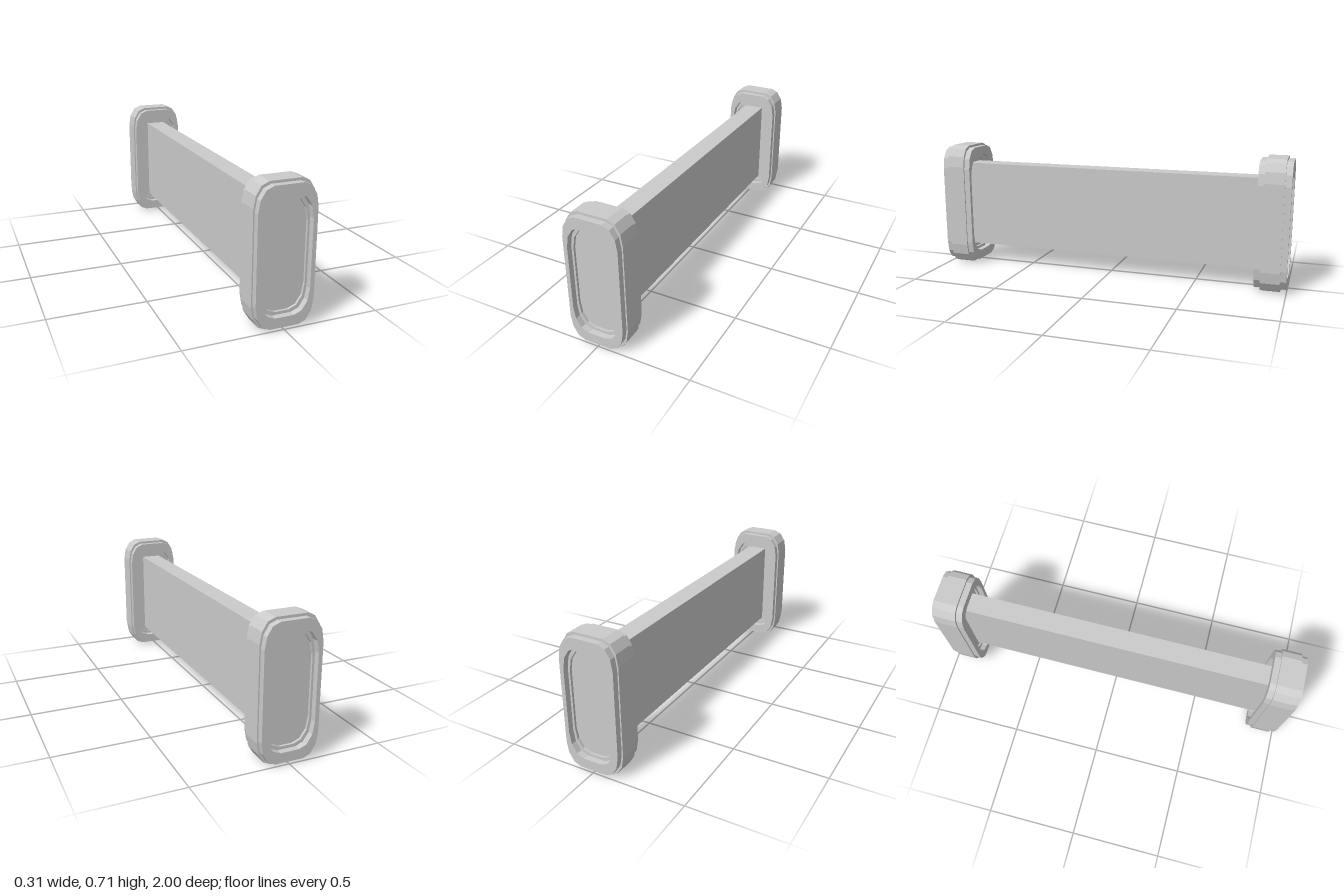
import * as THREE from 'three';

const MID_Y = 0.355;
const material = new THREE.MeshStandardMaterial({ color: 0xcccccc, flatShading: true });

// Rounded rectangle with three-sided elliptical corners, as a loop of points at depth z
function section(z, w, h, rx, ry) {
  const points = [];
  const corners = [[1, 1], [-1, 1], [-1, -1], [1, -1]];
  corners.forEach(([sx, sy], q) => {
    for (let k = 0; k <= 3; k++) {
      const a = (q + k / 3) * Math.PI / 2;
      points.push([sx * (w - rx) + rx * Math.cos(a), sy * (h - ry) + ry * Math.sin(a), z]);
    }
  });
  return points;
}

// Skins a list of equal-length loops
function loft(sections) {
  const positions = [];
  const n = sections[0].length;
  for (let i = 0; i < sections.length - 1; i++) {
    for (let j = 0; j < n; j++) {
      const k = (j + 1) % n;
      const a = sections[i][j], b = sections[i][k];
      const c = sections[i + 1][j], d = sections[i + 1][k];
      if (i < sections.length - 2) positions.push(...a, ...c, ...d);
      if (i > 0) positions.push(...a, ...d, ...b);
      if (i === sections.length - 2) positions.push(...a, ...c, ...b);
    }
  }
  const geometry = new THREE.BufferGeometry();
  geometry.setAttribute('position', new THREE.Float32BufferAttribute(positions, 3));
  geometry.computeVertexNormals();
  return geometry;
}

// Flange half-profile, from the recessed web out to the raised band
const profile = [
  [0.042, 0, 0, 0, 0],
  [0.042, 0.115, 0.274, 0.08, 0.12],
  [0.055, 0.115, 0.274, 0.08, 0.12],
  [0.055, 0.126, 0.289, 0.078, 0.12],
  [0.085, 0.127, 0.29, 0.078, 0.12],
  [0.085, 0.148, 0.342, 0.075, 0.12],
  [0.052, 0.148, 0.342, 0.075, 0.12],
  [0.052, 0.155, 0.355, 0.075, 0.12],
];

export function createModel() {
  const model = new THREE.Group();
  model.name = 'flangedBeam';

  // Flat beam, ending inside the flange webs
  const beam = new THREE.Mesh(new THREE.BoxGeometry(0.11, 0.494, 1.88), material);
  beam.name = 'beam';
  beam.position.y = 0.357;
  model.add(beam);

  // Identical end flanges, recessed on both faces
  const mirrored = profile.map(([z, ...rest]) => [-z, ...rest]).reverse();
  const flangeGeometry = loft([...profile, ...mirrored].map((p) => section(...p)));
  for (const [name, z] of [['frontFlange', 0.915], ['backFlange', -0.915]]) {
    const flange = new THREE.Mesh(flangeGeometry, material);
    flange.name = name;
    flange.position.set(0, MID_Y, z);
    model.add(flange);
  }
  return model;
}
